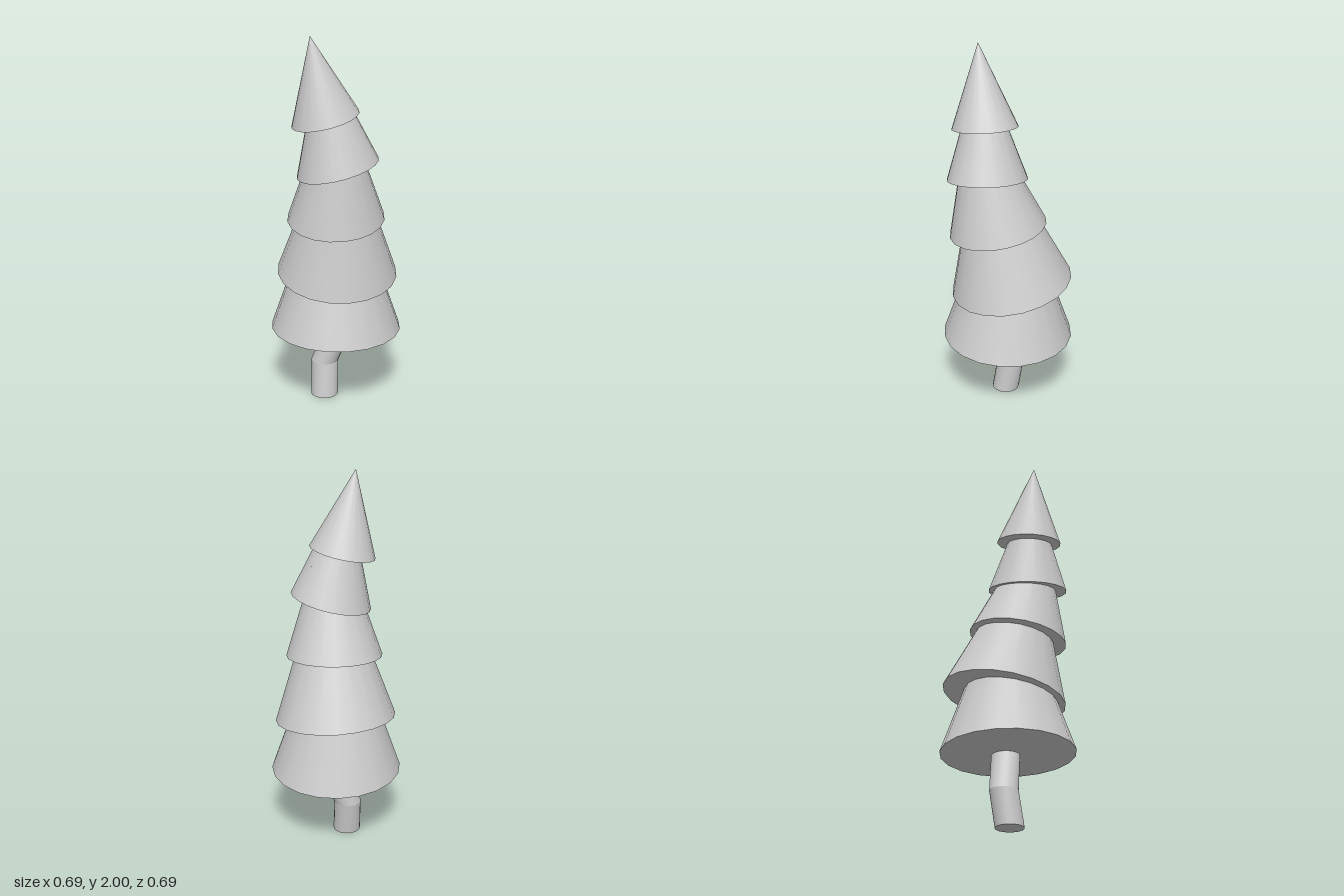
import * as THREE from 'three';
import { toCreasedNormals } from 'three/addons/utils/BufferGeometryUtils.js';

const material = new THREE.MeshStandardMaterial({ color: 0xcccccc });

// Cylinder or cone leaning from one centre to another; slope tilts its rings
function leaning(name, from, to, rBottom, rTop, slope = [0, 0]) {
  const geo = new THREE.CylinderGeometry(rTop, rBottom, 1, 20);
  geo.deleteAttribute('uv');
  const p = geo.attributes.position;
  const a = new THREE.Vector3(...from), b = new THREE.Vector3(...to), c = new THREE.Vector3();
  for (let i = 0; i < p.count; i++) {
    const x = p.getX(i), z = p.getZ(i);
    c.lerpVectors(a, b, p.getY(i) + 0.5);
    p.setXYZ(i, c.x + x, c.y + slope[0] * x + slope[1] * z, c.z + z);
  }
  const mesh = new THREE.Mesh(toCreasedNormals(geo, 0.7), material);
  mesh.name = name;
  return mesh;
}

// Base centre, radius, slope of the base along x and z, cone tip, cut height (1 = full cone)
const tiers = [
  { base: [0, 0.402, 0], r: 0.345, slope: [-0.02, 0], tip: [0, 1.4, 0], cut: 0.5 },
  { base: [0.02, 0.71, -0.01], r: 0.316, slope: [0.1, -0.145], tip: [-0.085, 1.63, 0.105], cut: 0.6 },
  { base: [-0.036, 1.035, 0.035], r: 0.252, slope: [0.13, -0.1], tip: [-0.13, 1.79, 0.125], cut: 0.6 },
  { base: [-0.068, 1.32, 0.078], r: 0.208, slope: [0.18, 0.157], tip: [-0.15, 1.94, 0.035], cut: 0.6 },
  { base: [-0.118, 1.577, 0.041], r: 0.17, slope: [0.19, 0.13], tip: [-0.192, 2, 0.01], cut: 1 },
];

export function createModel() {
  const group = new THREE.Group();
  group.name = 'firTree';

  // Crooked trunk
  const bend = [-0.028, 0.19, -0.056];
  group.add(leaning('trunkLower', [-0.05, 0, -0.038], bend, 0.073, 0.073));
  group.add(leaning('trunkUpper', bend, [0.036, 0.43, 0.019], 0.073, 0.073));

  // Stacked, tilted foliage tiers
  tiers.forEach(({ base, r, slope, tip, cut }, i) => {
    const top = base.map((v, k) => v + (tip[k] - v) * cut);
    group.add(leaning(`foliageTier${i + 1}`, base, top, r, r * (1 - cut), slope));
  });

  // Small flat-topped twig stub
  const stub = new THREE.Group();
  stub.name = 'twigStub';
  const bowl = new THREE.Mesh(
    new THREE.SphereGeometry(0.03, 12, 5, 0, Math.PI * 2, Math.PI / 2, Math.PI / 2), material);
  bowl.name = 'stubBowl';
  const lid = new THREE.Mesh(new THREE.CircleGeometry(0.03, 12).rotateX(-Math.PI / 2), material);
  lid.name = 'stubTop';
  stub.add(bowl, lid);
  stub.scale.y = 0.85;
  stub.position.set(0.019, 1.53, 0.108);
  group.add(stub);

  return group;
}
